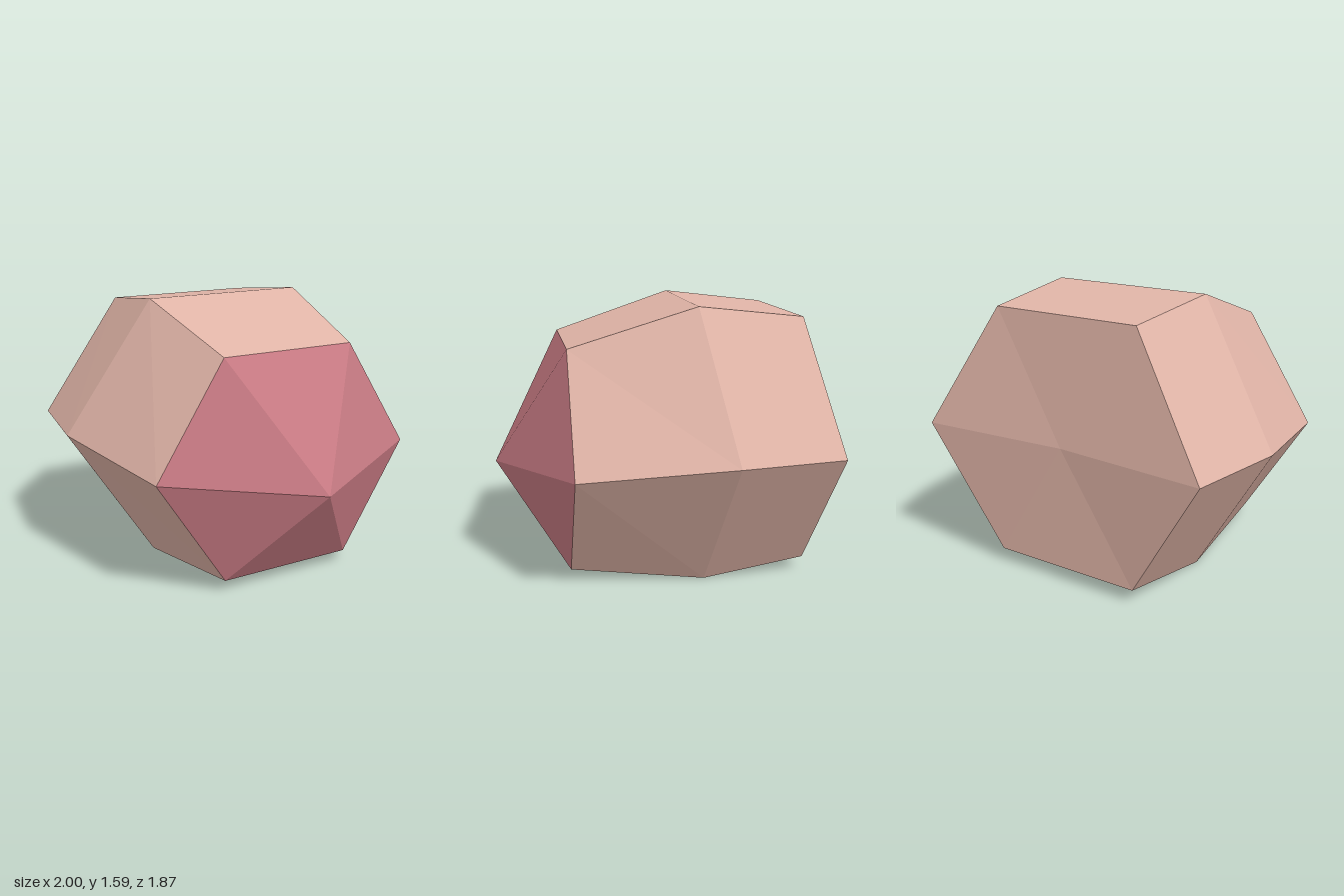
import * as THREE from 'three';

// Mirrored hexagonal ring, counter-clockwise from the front.
// side, top and bottom are [x, y, z] of the +x corners.
function hexRing(side, top, bottom) {
  const mirror = ([x, y, z]) => [-x, y, z];
  return [side, top, mirror(top), mirror(side), mirror(bottom), bottom];
}

// Faceted mesh from a list of triangles
function facetMesh(name, triangles, material) {
  const geometry = new THREE.BufferGeometry();
  geometry.setAttribute('position', new THREE.Float32BufferAttribute(triangles.flat(2), 3));
  geometry.computeVertexNormals();
  const mesh = new THREE.Mesh(geometry, material);
  mesh.name = name;
  return mesh;
}

// Band of quads joining a front ring to the ring behind it
function band(front, back) {
  return front.flatMap((a, i) => {
    const j = (i + 1) % front.length;
    return [[a, back[i], front[j]], [front[j], back[i], back[j]]];
  });
}

// Fan of triangles from a centre point to a ring
function fan(centre, ring, facesFront) {
  return ring.map((p, i) => {
    const next = ring[(i + 1) % ring.length];
    return facesFront ? [centre, p, next] : [centre, next, p];
  });
}

export function createModel() {
  const group = new THREE.Group();
  group.name = 'facetedPod';

  const tan = new THREE.MeshStandardMaterial({ color: 0xe0b4a7 });
  tan.name = 'tan';
  const pink = new THREE.MeshStandardMaterial({ color: 0xc97b84 });
  pink.name = 'dustyPink';
  tan.flatShading = pink.flatShading = true;

  const front = hexRing([0.83, 0.715, 0.52], [0.415, 1.36, 0.52], [0.415, 0.07, 0.52]);
  const middle = hexRing([1, 0.8, -0.33], [0.5, 1.59, -0.2], [0.5, 0, -0.25]);
  const rear = hexRing([0.91, 0.8, -0.935], [0.46, 1.52, -0.81], [0.46, 0.08, -0.86]);

  // Pointed front cap
  group.add(facetMesh('frontPoint', fan([0, 0.63, 0.93], front, true), pink));
  // Hexagonal shell, widest at the middle ring
  group.add(facetMesh('frontShell', band(front, middle), tan));
  group.add(facetMesh('rearShell', band(middle, rear), tan));
  // Slightly dished back
  group.add(facetMesh('backCap', fan([0, 0.8, -0.87], rear, false), tan));

  return group;
}
